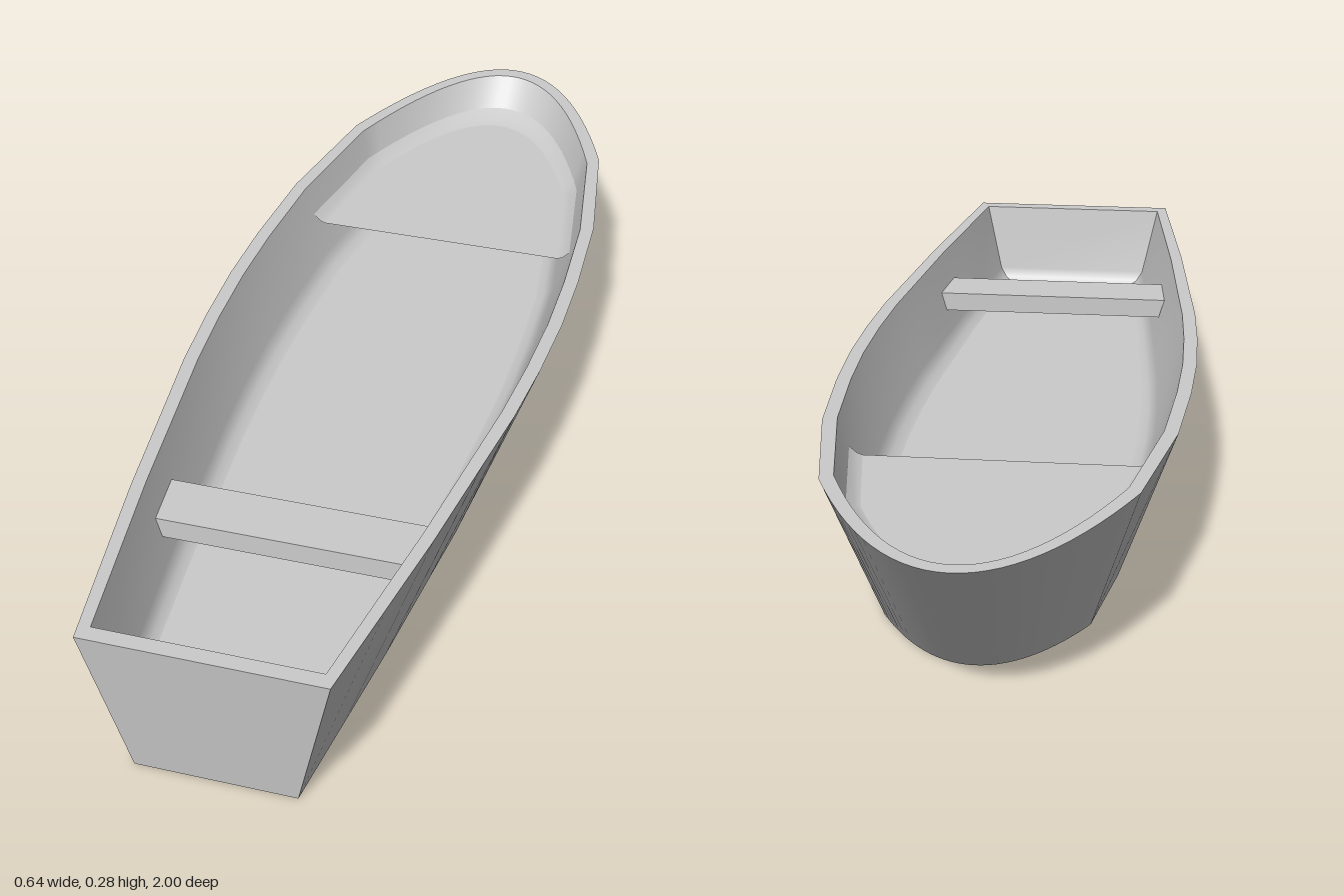
import * as THREE from 'three';

const H = 0.282, FLOOR = 0.12, DECK = 0.212;
const material = new THREE.MeshStandardMaterial({ color: 0xcccccc, side: THREE.DoubleSide });

// Half outline of the gunwale as [x, z], from the stern corner to the bow tip
const half = [[0.207, 1], [0.236, 0.8], [0.262, 0.62], [0.288, 0.4], [0.306, 0.25],
  [0.317, 0.1], [0.322, -0.05], [0.319, -0.2], [0.306, -0.4]];
const bowStart = half.length - 1;
const BOW_STEPS = 14;
for (let i = 0; i <= BOW_STEPS; i++) {
  const x = 0.26 * (1 - i / BOW_STEPS);
  half.push([x, -1 + 4.95 * x * x]);
}

// Where a gunwale point ends up on the keel plane
function bottomZ(z) {
  if (z < -0.665) return -0.57 + (z + 0.665) * 0.507;
  if (z < -0.4) return THREE.MathUtils.mapLinear(z, -0.665, -0.4, -0.57, -0.37);
  return THREE.MathUtils.mapLinear(z, -0.4, 1, -0.37, 0.965);
}

// Half section of the hull at height y, on the outer or inner skin
function section(y, inner) {
  const t = y / H;
  return half.map(([x, z]) => new THREE.Vector3(
    x * (0.67 + 0.33 * t) * (inner ? 0.92 : 1), y,
    THREE.MathUtils.lerp(bottomZ(z), z, t) * (inner ? 0.97 : 1)));
}

const flip = (p) => new THREE.Vector3(-p.x, p.y, p.z);
const mirrored = (row) => row.map(flip);
const around = (row) => [...row, ...mirrored(row.slice(0, -1)).reverse()];
const sternEnds = (row) => [flip(row[0]), row[0]];

// Skin through a list of rows with equal point counts
function skin(name, ...rows) {
  const n = rows[0].length, index = [];
  for (let r = 0; r < rows.length - 1; r++) {
    for (let i = 0; i < n - 1; i++) {
      const a = r * n + i, b = a + n;
      index.push(a, b, a + 1, b, b + 1, a + 1);
    }
  }
  const geometry = new THREE.BufferGeometry().setFromPoints(rows.flat());
  geometry.setIndex(index);
  geometry.computeVertexNormals();
  const mesh = new THREE.Mesh(geometry, material);
  mesh.name = name;
  return mesh;
}

// Inner half width of the hull at a given height and z
function innerWidth(y, z) {
  const row = section(y, true);
  const i = row.findIndex((p) => p.z <= z);
  return THREE.MathUtils.mapLinear(z, row[i - 1].z, row[i].z, row[i - 1].x, row[i].x);
}

// Bench plank whose ends follow the sloping sides
function createThwart() {
  const geometry = new THREE.BoxGeometry(2, 0.037, 0.108).toNonIndexed();
  geometry.translate(0, 0.203, 0.567);
  const p = geometry.attributes.position;
  for (let i = 0; i < p.count; i++) {
    p.setX(i, Math.sign(p.getX(i)) * innerWidth(p.getY(i), p.getZ(i)));
  }
  geometry.computeVertexNormals();
  const mesh = new THREE.Mesh(geometry, material);
  mesh.name = 'thwart';
  return mesh;
}

// Thin bow platform with a small curve up into the wall
function createBowDeck() {
  const deck = new THREE.Group();
  deck.name = 'bowDeck';
  const ring = (y, scale) => section(y, true).slice(bowStart).map((p, i, row) =>
    new THREE.Vector3(p.x * scale, y, row[0].z + (p.z - row[0].z) * scale));
  const flat = ring(DECK, 0.93);
  deck.add(skin('deckTop', mirrored(flat), flat));
  deck.add(skin('deckFillet', around(flat), around(ring(DECK + 0.004, 0.965)),
    around(ring(DECK + 0.016, 1))));
  return deck;
}

export function createModel() {
  const model = new THREE.Group();
  model.name = 'rowingBoat';

  const keel = section(0, false), gunwale = section(H, false);
  const innerTop = section(H, true), wallFoot = section(FLOOR + 0.025, true);

  // Rounded foot of the inner wall, running into the floor
  const footRing = (rise, sx, sz) => section(FLOOR + rise, true).map((p) =>
    new THREE.Vector3(p.x * sx, p.y, p.z * sz));
  const fillet = footRing(0.007, 0.95, 0.993);
  const floor = footRing(0, 0.89, 0.985);

  // Outer shell
  model.add(skin('hullSides', around(gunwale), around(keel)));
  model.add(skin('hullBottom', keel, mirrored(keel)));
  model.add(skin('transom', sternEnds(gunwale), sternEnds(keel)));

  // Inner shell
  model.add(skin('innerSides', around(floor), around(fillet), around(wallFoot), around(innerTop)));
  model.add(skin('floor', mirrored(floor), floor));
  model.add(skin('innerTransom', sternEnds(floor), sternEnds(fillet), sternEnds(wallFoot),
    sternEnds(innerTop)));

  // Rim joining both shells
  model.add(skin('rim', around(innerTop), around(gunwale)));
  model.add(skin('sternRim', sternEnds(innerTop), sternEnds(gunwale)));

  model.add(createThwart(), createBowDeck());
  return model;
}
